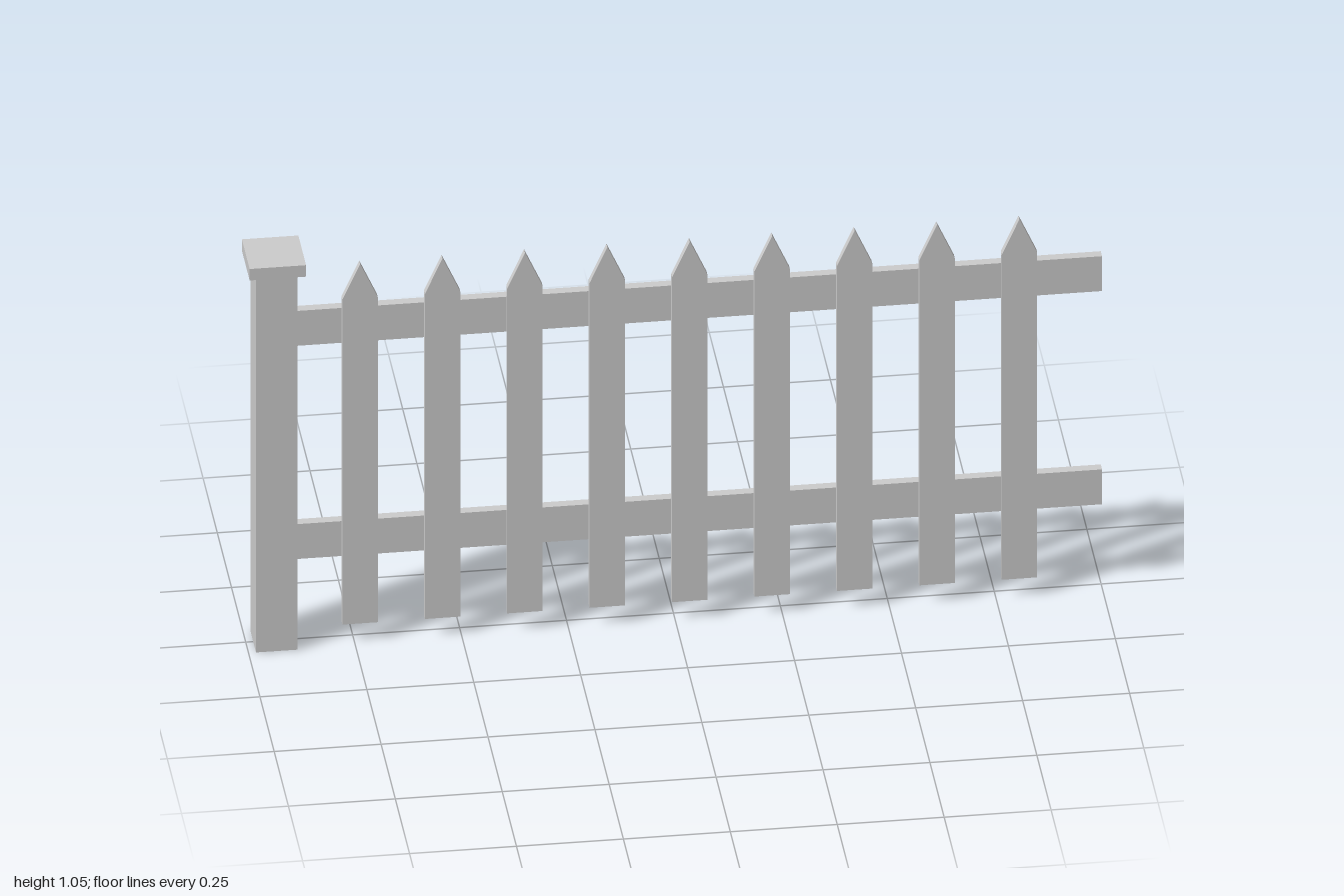
import * as THREE from 'three';

const material = new THREE.MeshStandardMaterial({ color: 0xcccccc, flatShading: true });

export function createModel() {
  const fence = new THREE.Group();
  fence.name = 'picketFence';

  const add = (name, geometry, x, y, z) => {
    const mesh = new THREE.Mesh(geometry, material);
    mesh.name = name;
    mesh.position.set(x, y, z);
    fence.add(mesh);
  };

  // Square end post with an overhanging flat cap
  add('post', new THREE.BoxGeometry(0.097, 1.016, 0.097), -0.934, 0.508, 0.001);
  add('postCap', new THREE.BoxGeometry(0.132, 0.031, 0.136), -0.934, 1.0315, 0.001);

  // Two horizontal rails running from the post to the open end
  const railGeometry = new THREE.BoxGeometry(1.89, 0.094, 0.023);
  add('lowerRail', railGeometry, 0.055, 0.272, 0.0055);
  add('upperRail', railGeometry, 0.055, 0.847, 0.0055);

  // Pointed pickets fixed to the front of the rails
  const half = 0.0415;
  const outline = new THREE.Shape([
    new THREE.Vector2(-half, 0.05),
    new THREE.Vector2(half, 0.05),
    new THREE.Vector2(half, 0.926),
    new THREE.Vector2(0, 1.019),
    new THREE.Vector2(-half, 0.926),
  ]);
  const picketGeometry = new THREE.ExtrudeGeometry(outline, { depth: 0.017, bevelEnabled: false });
  for (let i = 0; i < 9; i++) {
    add(`picket${i + 1}`, picketGeometry, -0.737 + i * 0.1927, 0, 0.017);
  }

  return fence;
}
